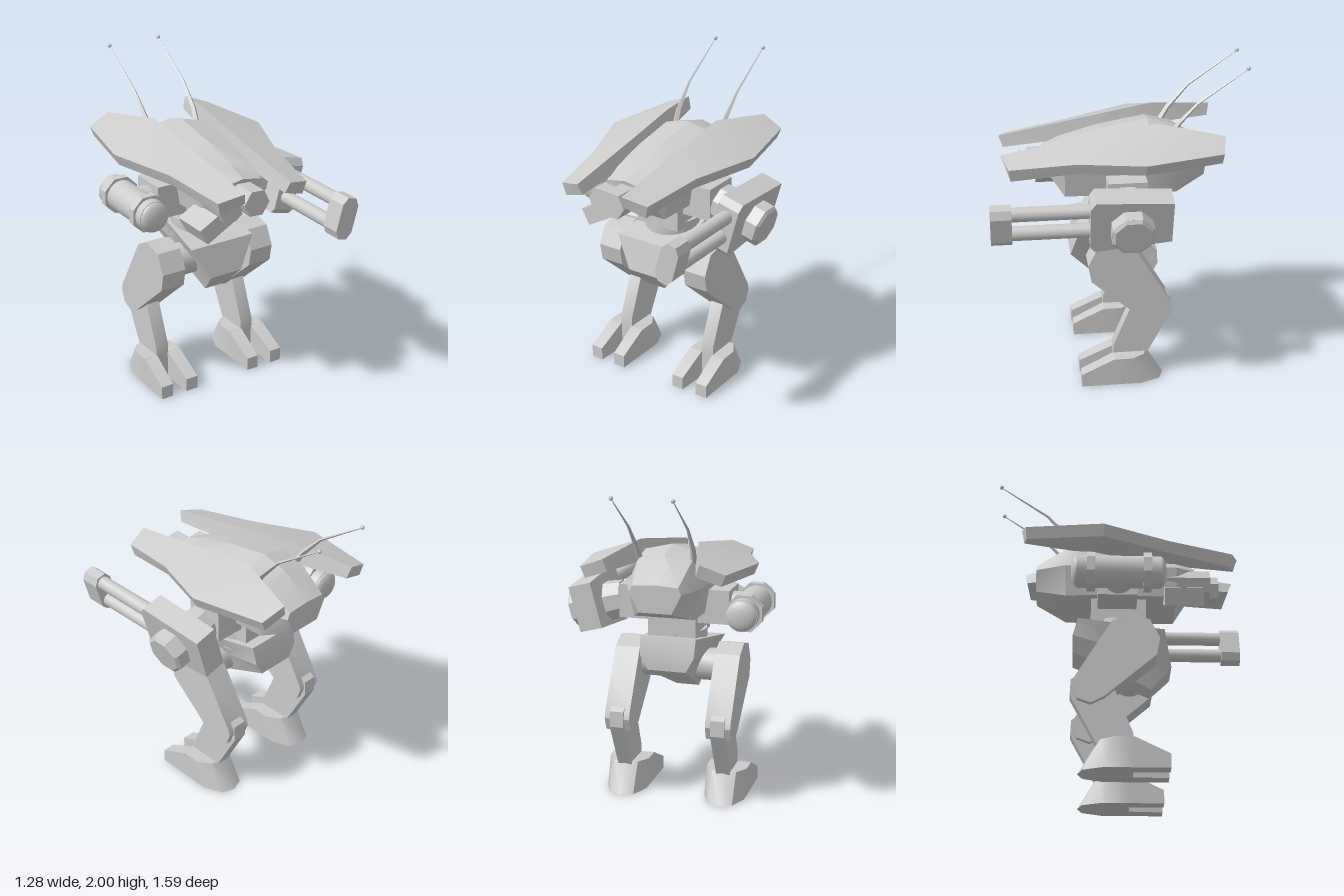
import * as THREE from 'three';
import { toCreasedNormals } from 'three/addons/utils/BufferGeometryUtils.js';

const material = new THREE.MeshStandardMaterial({ color: 0xcccccc });
const CX = -0.065; // symmetry plane of the body and legs

function add(parent, name, geometry, x = 0, y = 0, z = 0) {
  const mesh = new THREE.Mesh(geometry, material);
  mesh.name = name;
  mesh.position.set(x, y, z);
  parent.add(mesh);
  return mesh;
}

// Skin a row of equal-sized rings of [x, y, z], close both ends, face outwards
function loft(rings, crease = 0.4) {
  const tris = [], n = rings[0].length;
  const centre = r => [0, 1, 2].map(k => r.reduce((s, p) => s + p[k], 0) / n);
  const first = rings[0], last = rings[rings.length - 1];
  const c0 = centre(first), c1 = centre(last);
  for (let i = 0; i < n; i++) {
    const j = (i + 1) % n;
    for (let r = 0; r + 1 < rings.length; r++) {
      const a = rings[r], b = rings[r + 1];
      tris.push([a[i], a[j], b[j]], [a[i], b[j], b[i]]);
    }
    tris.push([c0, first[j], first[i]], [c1, last[i], last[j]]);
  }
  const v = p => new THREE.Vector3(...p);
  const volume = tris.reduce((s, [a, b, c]) => s + v(a).dot(v(b).cross(v(c))), 0);
  if (volume < 0) tris.forEach(t => t.reverse());
  const g = new THREE.BufferGeometry();
  g.setAttribute('position', new THREE.Float32BufferAttribute(tris.flat(2), 3));
  return toCreasedNormals(g, crease);
}

// Side profile of [z, y] points spanning x0 to x1
const plate = (profile, x0, x1, crease) =>
  loft([x0, x1].map(x => profile.map(([z, y]) => [x, y, z])), crease);

function cylinder(r0, r1, length, sides, axis) {
  const g = new THREE.CylinderGeometry(r0, r1, length, sides);
  if (axis === 'x') g.rotateZ(-Math.PI / 2);
  if (axis === 'z') g.rotateX(Math.PI / 2);
  return toCreasedNormals(g, 0.6);
}

function addLeg(parent, s) {
  const leg = new THREE.Group();
  leg.name = s > 0 ? 'leftLeg' : 'rightLeg';
  leg.position.x = s * 0.3235;
  parent.add(leg);
  add(leg, 'thigh', plate([[0.03, 0.98], [0.15, 0.95], [0.21, 0.83], [0.19, 0.72], [-0.12, 0.45],
    [-0.2, 0.41], [-0.28, 0.44], [-0.31, 0.52], [-0.3, 0.56], [-0.17, 0.78], [-0.08, 0.93]], -0.08, 0.08));
  add(leg, 'shin', plate([[0.05, 0.15], [0.05, 0.24], [-0.058, 0.51], [-0.12, 0.6], [-0.27, 0.6],
    [-0.315, 0.57], [-0.32, 0.47], [-0.15, 0.15]], -0.044, 0.044));
  // Heel with a sloping rounded back, and two toes with a gap between
  const heel = (y, side, corner, back) => [[-0.13, y, 0.05], [-0.13, y, side], [-0.08, y, corner],
    [0, y, back], [0.08, y, corner], [0.13, y, side], [0.13, y, 0.05]];
  add(leg, 'heel', loft([heel(0, -0.12, -0.24, -0.27), heel(0.185, -0.06, -0.14, -0.16)], 0.7));
  for (const t of [-1, 1]) {
    const rib = (z, top, inner) => [[t * inner, 0, z], [t * 0.13, 0, z], [t * 0.13, top, z], [t * inner, top, z]];
    add(leg, 'toe', loft([rib(0.04, 0.185, 0.04), rib(0.06, 0.183, 0.04), rib(0.26, 0.085, 0.05)]));
  }
}

function addWing(parent, s) {
  // Ribs from front to back: outer top, inner top, inner bottom, outer bottom
  const ribs = [
    [[0.31, 1.45, 0.67], [0.16, 1.49, 0.715], [0.14, 1.42, 0.69], [0.29, 1.37, 0.66]],
    [[0.38, 1.5, 0.27], [0.17, 1.6, 0.1], [0.145, 1.47, 0.1], [0.355, 1.43, 0.27]],
    [[0.525, 1.53, -0.13], [0.18, 1.66, -0.24], [0.155, 1.53, -0.22], [0.495, 1.46, -0.13]],
    [[0.437, 1.548, -0.605], [0.29, 1.605, -0.635], [0.265, 1.53, -0.62], [0.41, 1.48, -0.6]],
  ];
  add(parent, s > 0 ? 'leftWing' : 'rightWing',
    loft(ribs.map(r => r.map(([x, y, z]) => [s * x, y, z])), 0.3));
}

function addAntenna(parent, s) {
  const path = [[0.15, 1.38, -0.2, 0.03], [0.175, 1.63, -0.35, 0.017], [0.18, 1.775, -0.48, 0.009], [0.18, 1.98, -0.775, 0.003]];
  add(parent, 'antenna', loft(path.map(([x, y, z, r]) => [
    [s * x - r, y, z], [s * x, y + r * 0.7, z + r * 0.7], [s * x + r, y, z], [s * x, y - r * 0.7, z - r * 0.7]])));
  add(parent, 'antennaTip', new THREE.SphereGeometry(0.013, 12, 8), s * 0.18, 1.987, -0.782);
}

function addBody(parent) {
  // Hull sections: z, then height and half width of belly, flank and roof edge, then ridge height
  const hull = [
    [0.45, 1.38, 0.12, 1.41, 0.15, 1.43, 0.14, 1.46],
    [0.33, 1.21, 0.19, 1.4, 0.22, 1.48, 0.15, 1.51],
    [0.1, 1.21, 0.2, 1.4, 0.23, 1.54, 0.16, 1.575],
    [-0.2, 1.21, 0.2, 1.4, 0.23, 1.59, 0.17, 1.63],
    [-0.36, 1.21, 0.19, 1.4, 0.23, 1.55, 0.165, 1.59],
    [-0.545, 1.28, 0.1, 1.4, 0.16, 1.44, 0.14, 1.45],
  ];
  add(parent, 'hull', loft(hull.map(([z, yb, wb, ys, ws, yt, wt, yc]) => [
    [-wb, yb, z], [wb, yb, z], [ws, ys, z], [wt, yt, z],
    [0, yc, z + (z > 0.4 ? 0.015 : 0)], [-wt, yt, z], [-ws, ys, z]])));
  add(parent, 'neck', new THREE.BoxGeometry(0.305, 0.2, 0.34), 0, 1.14, -0.03);
  add(parent, 'turnRing', cylinder(0.175, 0.175, 0.13, 24), 0, 1.01, -0.03);
  add(parent, 'shoulderBeam', new THREE.BoxGeometry(0.7, 0.21, 0.24), 0, 1.245, -0.04);
  // Pelvis outline: z, y, half width
  const pelvis = [[0.25, 0.97, 0.225], [0.295, 0.77, 0.11], [0.17, 0.635, 0.075],
    [-0.31, 0.86, 0.12], [-0.31, 0.95, 0.17], [-0.28, 1.065, 0.175]];
  add(parent, 'pelvis', loft([-1, 1].map(s => pelvis.map(([z, y, w]) => [s * w, y, z]))));
  add(parent, 'hipAxle', cylinder(0.103, 0.103, 0.5, 24, 'x'), 0, 0.822, 0.05);
}

// Hexagonal barrels under the nose on a slanted mount
function addNoseGuns(parent) {
  for (const [x, y, z] of [[-0.195, 1.325, 0.54], [-0.06, 1.355, 0.605]])
    add(parent, 'noseBarrel', cylinder(0.088, 0.088, 0.36, 6, 'z'), x, y, z - 0.18).rotation.z = 0.45;
  add(parent, 'noseMount', new THREE.BoxGeometry(0.28, 0.11, 0.24), -0.23, 1.23, 0.37).rotation.z = 0.5;
}

function addTwinGun(parent) {
  const gun = new THREE.Group();
  gun.name = 'leftTwinGun';
  gun.position.set(0.463, 1.2, 0);
  gun.rotation.z = -0.26;
  parent.add(gun);
  add(gun, 'gunHousing', plate([[0.21, 0.14], [0.18, 0.185], [-0.28, 0.16], [-0.28, -0.13],
    [0.18, -0.185], [0.21, -0.15]], -0.072, 0.072));
  const hub = (name, r0, r1, len, x) => {
    const g = new THREE.CylinderGeometry(r1, r0, len, 8).rotateY(Math.PI / 8).rotateZ(-Math.PI / 2);
    add(gun, name, toCreasedNormals(g, 0.4), x, -0.01, -0.035);
  };
  hub('outerHub', 0.135, 0.135, 0.09, 0.105);
  hub('outerHubCap', 0.135, 0.115, 0.016, 0.157);
  hub('innerHub', 0.115, 0.13, 0.13, -0.115);
  for (const y of [-0.07, 0.075])
    add(gun, 'barrel', cylinder(0.044, 0.044, 0.52, 20, 'z'), 0, y, 0.44);
  const ring = z => [[-0.03, -0.13], [0.03, -0.13], [0.06, -0.085], [0.06, 0.085],
    [0.03, 0.13], [-0.03, 0.13], [-0.06, 0.085], [-0.06, -0.085]].map(([x, y]) => [x, y, z]);
  add(gun, 'muzzleBlock', loft([ring(0.67), ring(0.795)]));
}

function addTubeGun(parent) {
  const gun = new THREE.Group();
  gun.name = 'rightTubeGun';
  gun.position.set(-0.523, 1.235, 0);
  parent.add(gun);
  add(gun, 'tube', cylinder(0.098, 0.098, 0.505, 24, 'z'), 0, 0, -0.037);
  for (const z of [-0.205, 0.135]) {
    const band = add(gun, 'band', cylinder(0.12, 0.12, 0.05, 8, 'z'), 0, 0, z);
    band.rotation.z = Math.PI / 8;
  }
  for (const z of [-0.288, 0.214])
    add(gun, 'endDome', new THREE.SphereGeometry(0.094, 24, 12), 0, 0, z).scale.z = 0.4;
  add(gun, 'mount', cylinder(0.09, 0.09, 0.16, 16, 'x'), 0.1, 0, -0.035);
}

export function createModel() {
  const model = new THREE.Group();
  model.name = 'walker';
  const core = new THREE.Group();
  core.name = 'core';
  core.position.x = CX;
  model.add(core);
  addBody(core);
  for (const s of [-1, 1]) {
    addLeg(core, s);
    addWing(core, s);
    addAntenna(core, s);
  }
  addNoseGuns(model);
  addTwinGun(model);
  addTubeGun(model);
  return model;
}
